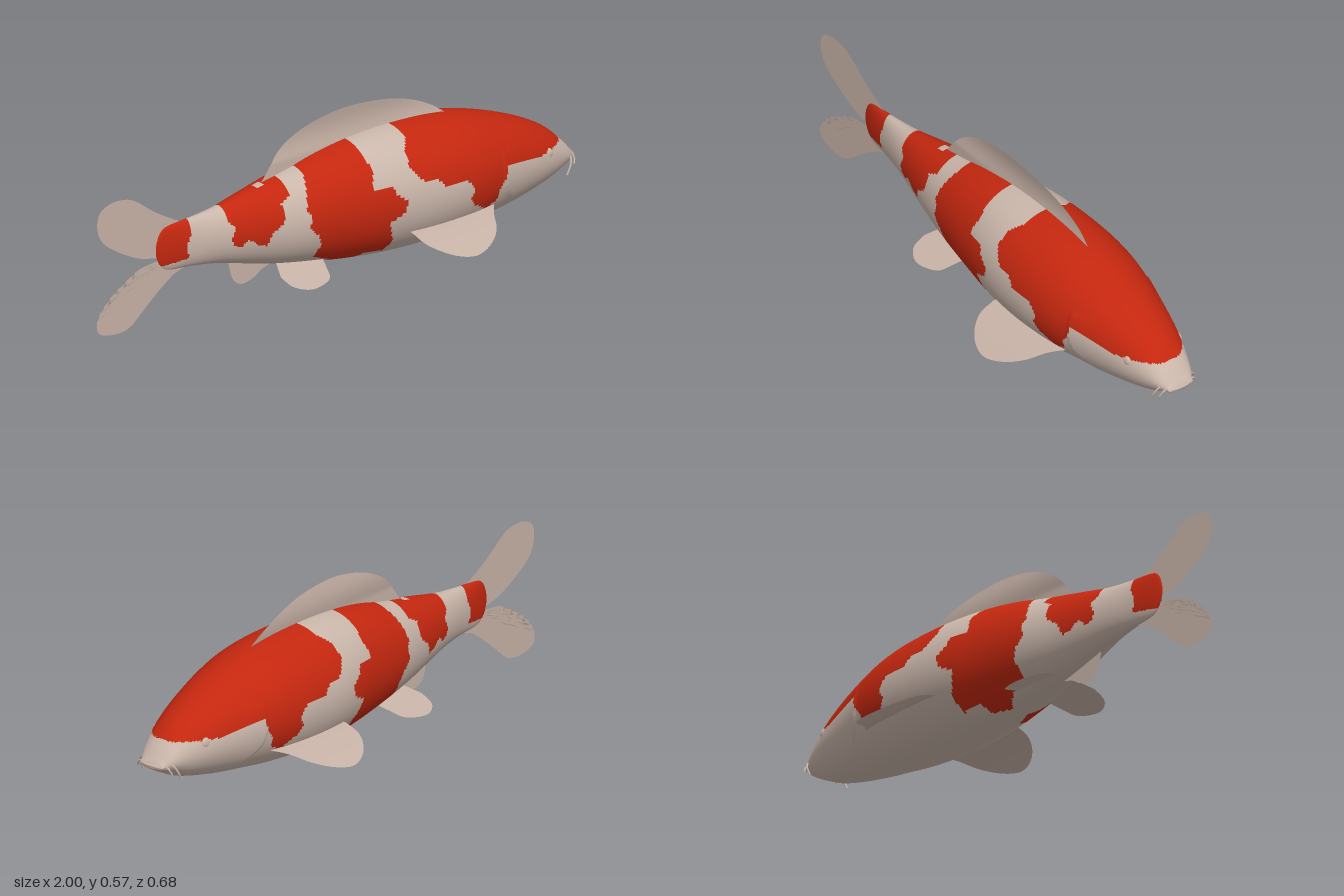
import * as THREE from 'three';

const V = (x, y, z = 0) => new THREE.Vector3(x, y, z);

// Body stations: x, top, bottom, half width
const STATIONS = [
  [-0.752, 0.26, 0.26, 0], [-0.75, 0.28, 0.24, 0.003], [-0.735, 0.318, 0.205, 0.008],
  [-0.7, 0.338, 0.18, 0.016], [-0.6, 0.345, 0.17, 0.035], [-0.5, 0.355, 0.155, 0.058],
  [-0.4, 0.375, 0.13, 0.083], [-0.3, 0.395, 0.105, 0.108], [-0.2, 0.415, 0.085, 0.132],
  [-0.1, 0.44, 0.067, 0.152], [0, 0.457, 0.052, 0.17], [0.1, 0.467, 0.042, 0.188],
  [0.2, 0.471, 0.037, 0.2], [0.3, 0.47, 0.036, 0.205], [0.4, 0.464, 0.043, 0.204],
  [0.5, 0.45, 0.052, 0.195], [0.6, 0.425, 0.066, 0.176], [0.7, 0.392, 0.08, 0.152],
  [0.8, 0.35, 0.1, 0.125], [0.88, 0.304, 0.122, 0.098], [0.94, 0.25, 0.15, 0.073],
  [0.97, 0.215, 0.166, 0.055], [0.985, 0.195, 0.176, 0.045], [0.986, 0.1855, 0.1855, 0],
];

// Outlines of the red markings, in side elevation (x, y)
const PATCHES = [
  [[-0.8, 0.5], [-0.62, 0.5], [-0.62, 0.302], [-0.638, 0.265], [-0.633, 0.211], [-0.72, 0.2], [-0.8, 0.2]],
  [[-0.484, 0.5], [-0.484, 0.313], [-0.463, 0.291], [-0.479, 0.249], [-0.468, 0.227], [-0.441, 0.217],
    [-0.42, 0.243], [-0.377, 0.211], [-0.35, 0.206], [-0.334, 0.249], [-0.297, 0.275], [-0.281, 0.302],
    [-0.291, 0.34], [-0.249, 0.361], [-0.245, 0.5]],
  [[-0.168, 0.5], [-0.174, 0.404], [-0.195, 0.356], [-0.206, 0.302], [-0.19, 0.281], [-0.2, 0.243],
    [-0.163, 0.206], [-0.152, 0.174], [-0.158, 0.12], [-0.088, 0.088], [-0.035, 0.06], [0.03, 0.06],
    [0.045, 0.088], [0.12, 0.078], [0.131, 0.126], [0.11, 0.168], [0.099, 0.206], [0.158, 0.233],
    [0.163, 0.275], [0.126, 0.302], [0.11, 0.334], [0.04, 0.334], [0.056, 0.388], [0.045, 0.5]],
  [[0.233, 0.5], [0.233, 0.447], [0.2, 0.42], [0.195, 0.377], [0.217, 0.34], [0.243, 0.318],
    [0.291, 0.318], [0.329, 0.281], [0.345, 0.291], [0.404, 0.291], [0.447, 0.249], [0.43, 0.217],
    [0.441, 0.19], [0.511, 0.152], [0.559, 0.163], [0.564, 0.2], [0.596, 0.249], [0.602, 0.281],
    [0.628, 0.281], [0.703, 0.265], [0.783, 0.256], [0.89, 0.262], [0.925, 0.262], [0.925, 0.5]],
];

function inside(poly, x, y) {
  let hit = false;
  for (let i = 0, j = poly.length - 1; i < poly.length; j = i++) {
    const [ax, ay] = poly[i], [bx, by] = poly[j];
    if ((ay > y) !== (by > y) && x < ax + ((y - ay) / (by - ay)) * (bx - ax)) hit = !hit;
  }
  return hit;
}

function isRed(x, y, z) {
  const paleFleck = Math.abs(x + 0.32) < 0.015 && Math.abs(z) < 0.015 && y > 0.3;
  return !paleFleck && PATCHES.some((p) => inside(p, x, y));
}

// Lofted elliptical body; each cell is assigned to the pale or red material group
function bodyGeometry() {
  const cols = (STATIONS.length - 1) * 14, ring = 120;
  const [top, bottom, width] = [1, 2, 3].map(
    (k) => new THREE.SplineCurve(STATIONS.map((s) => new THREE.Vector2(s[0], s[k]))));
  const pos = [];
  for (let i = 0; i <= cols; i++) {
    const a = top.getPoint(i / cols), b = bottom.getPoint(i / cols).y;
    const w = Math.max(0, width.getPoint(i / cols).y);
    const mid = (a.y + b) / 2, half = Math.max(0, (a.y - b) / 2);
    for (let j = 0; j < ring; j++) {
      const t = (j / ring) * Math.PI * 2;
      const y = mid + half * Math.cos(t);
      // Raised rim of the gill cover
      const d = a.x - 0.592 - 5.5 * Math.max(0, 0.24 - y) ** 2;
      const rim = d > 0 && y > 0.11 && y < 0.33 ? 1 + 0.025 * Math.exp(-d / 0.07) : 1;
      pos.push(a.x, y, w * Math.sin(t) * rim);
    }
  }
  const pale = [], red = [];
  for (let i = 0; i < cols; i++) {
    for (let j = 0; j < ring; j++) {
      const k = (j + 1) % ring;
      const p = i * ring + j, q = i * ring + k, r = p + ring, s = q + ring;
      const mean = (c) => (pos[p * 3 + c] + pos[q * 3 + c] + pos[r * 3 + c] + pos[s * 3 + c]) / 4;
      (isRed(mean(0), mean(1), mean(2)) ? red : pale).push(p, q, r, r, q, s);
    }
  }
  const g = new THREE.BufferGeometry();
  g.setAttribute('position', new THREE.Float32BufferAttribute(pos, 3));
  g.setIndex(pale.concat(red));
  g.addGroup(0, pale.length, 0);
  g.addGroup(pale.length, red.length, 1);
  g.computeVertexNormals();
  return g;
}

// Fin membrane spanning from a root curve to an outer edge; place() bends it into 3D
function finGeometry(root, edge, place = (p) => p, jag = 0) {
  const curve = (pts) => new THREE.CatmullRomCurve3(pts.map(([x, y]) => V(x, y)));
  const inner = curve(root), outer = curve(edge), nu = 64, nv = 8, pos = [], index = [];
  for (let i = 0; i <= nu; i++) {
    const u = i / nu, a = inner.getPoint(u), b = outer.getPoint(u);
    if (u > 0.1 && u < 0.42 && i % 3 === 0) b.y -= jag;
    for (let j = 0; j <= nv; j++) {
      const p = place(a.clone().lerp(b, j / nv));
      pos.push(p.x, p.y, p.z);
      if (i < nu && j < nv) {
        const k = i * (nv + 1) + j, n = k + nv + 1;
        index.push(k, n, k + 1, k + 1, n, n + 1);
      }
    }
  }
  const g = new THREE.BufferGeometry();
  g.setAttribute('position', new THREE.Float32BufferAttribute(pos, 3));
  g.setIndex(index);
  g.computeVertexNormals();
  return g;
}

export function createModel() {
  const model = new THREE.Group();
  model.name = 'koi';
  const pale = new THREE.MeshStandardMaterial({ color: 0xcab6aa });
  pale.name = 'pale skin';
  const red = new THREE.MeshStandardMaterial({ color: 0xc4270f });
  red.name = 'red marking';
  const finMat = new THREE.MeshStandardMaterial({ color: 0xc6b1a5, side: THREE.DoubleSide });
  finMat.name = 'fin membrane';

  const add = (name, geometry, material) => {
    const m = new THREE.Mesh(geometry, material);
    m.name = name;
    model.add(m);
    return m;
  };
  const tube = (pts, r) => new THREE.TubeGeometry(new THREE.CatmullRomCurve3(pts), 20, r, 8);

  add('body', bodyGeometry(), [pale, red]);

  // Fins on the centre line
  add('dorsalFin', finGeometry(
    [[-0.3, 0.385], [0, 0.44], [0.2, 0.455], [0.47, 0.445]],
    [[-0.305, 0.395], [-0.23, 0.485], [-0.125, 0.543], [0, 0.572], [0.08, 0.576], [0.22, 0.562],
      [0.33, 0.532], [0.42, 0.49], [0.47, 0.455]],
    (p) => V(p.x, p.y, -0.008 * Math.sin(Math.PI * THREE.MathUtils.clamp((p.y - 0.45) / 0.126, 0, 1)))), finMat);
  add('upperTailLobe', finGeometry(
    [[-0.72, 0.235], [-0.64, 0.335]],
    [[-0.75, 0.233], [-0.82, 0.249], [-0.922, 0.302], [-0.981, 0.35], [-1, 0.404], [-0.99, 0.452],
      [-0.944, 0.477], [-0.863, 0.472], [-0.75, 0.397], [-0.64, 0.335]]), finMat);
  add('lowerTailLobe', finGeometry(
    [[-0.72, 0.225], [-0.62, 0.175]],
    [[-0.75, 0.219], [-0.82, 0.211], [-0.9, 0.17], [-0.965, 0.12], [-1, 0.067], [-0.995, 0.024],
      [-0.933, 0.003], [-0.863, 0.012], [-0.794, 0.072], [-0.687, 0.152], [-0.62, 0.175]],
    undefined, 0.016), finMat);
  add('analFin', finGeometry(
    [[-0.44, 0.15], [-0.26, 0.11]],
    [[-0.445, 0.138], [-0.425, 0.075], [-0.39, 0.05], [-0.34, 0.06], [-0.3, 0.083], [-0.26, 0.095]]), finMat);

  // Upper lip
  add('lip', tube([V(0.955, 0.18, 0.055), V(0.98, 0.186, 0.038), V(0.988, 0.188, 0),
    V(0.98, 0.186, -0.038), V(0.955, 0.18, -0.055)], 0.006), pale);

  // Paired parts, mirrored across the centre plane
  for (const [side, s] of [['left', -1], ['right', 1]]) {
    add(side + 'PectoralFin', finGeometry(
      [[0.2, 0.15], [0.56, 0.15]],
      [[0.19, 0.18], [0.2, 0.25], [0.257, 0.313], [0.337, 0.34], [0.417, 0.318], [0.48, 0.27],
        [0.52, 0.205], [0.56, 0.155]],
      (p) => {
        const d = p.y - 0.155;
        return V(p.x, 0.152 - 0.2 * d - 1.1 * d * d, s * p.y);
      }), finMat);
    add(side + 'PelvicFin', finGeometry(
      [[-0.27, 0.035], [-0.09, 0.035]],
      [[-0.3, 0.1], [-0.29, 0.15], [-0.255, 0.178], [-0.215, 0.185], [-0.14, 0.16], [-0.118, 0.115],
        [-0.09, 0.04]],
      (p) => V(p.x, 0.105 - 0.38 * (p.y - 0.04), s * p.y)), finMat);

    const eye = add(side + 'Eye', new THREE.SphereGeometry(0.021, 20, 14), pale);
    eye.position.set(0.825, 0.247, s * 0.103);
    eye.scale.set(1, 1, 0.65);

    add(side + 'LongBarbel', tube([V(0.95, 0.196, s * 0.045), V(0.952, 0.194, s * 0.066),
      V(0.942, 0.172, s * 0.081), V(0.925, 0.138, s * 0.083)], 0.0035), pale);
    add(side + 'ShortBarbel', tube([V(0.965, 0.19, s * 0.04), V(0.97, 0.186, s * 0.062),
      V(0.962, 0.166, s * 0.074)], 0.003), pale);
  }
  return model;
}
